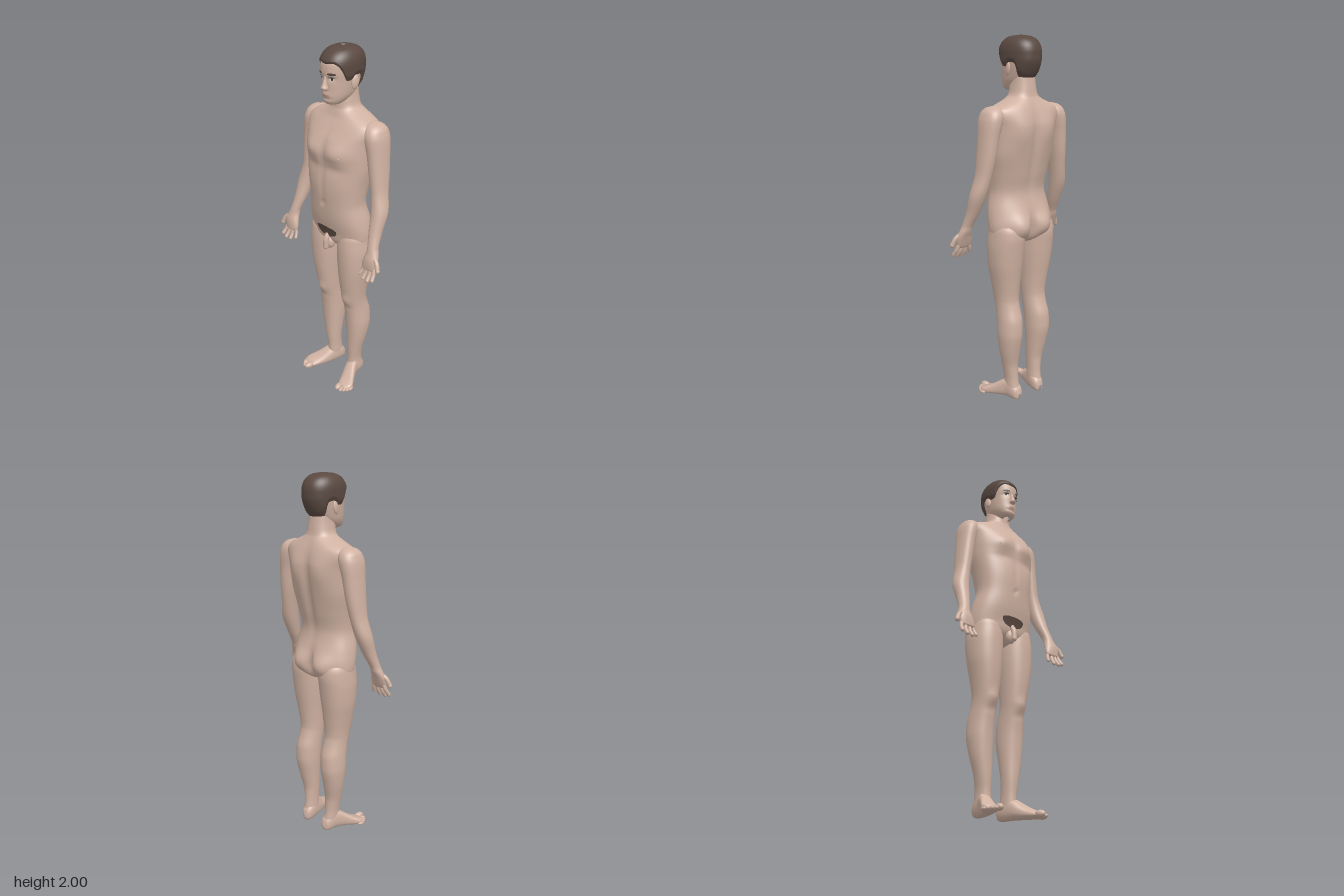
import * as THREE from 'three';

const mat = (name, color) => Object.assign(new THREE.MeshStandardMaterial({ color }), { name });
const bell = (dx, dy, sx, sy) => Math.exp(-((dx / sx) ** 2) - ((dy / sy) ** 2));
const spow = (v, e) => Math.sign(v) * Math.abs(v) ** e;

// Smooth curve through rows keyed by their first value
function sampleRows(rows, y) {
  let i = 0;
  while (i < rows.length - 2 && y > rows[i + 1][0]) i++;
  const p = rows[Math.max(i - 1, 0)], a = rows[i], b = rows[i + 1], q = rows[Math.min(i + 2, rows.length - 1)];
  const h = b[0] - a[0], t = Math.min(Math.max((y - a[0]) / h, 0), 1);
  return a.map((_, k) => {
    const d = (b[k] - a[k]) / h;
    const slope = (l, r) => (r[0] === l[0] ? d : (r[k] - l[k]) / (r[0] - l[0]));
    const limit = (m) => (m * d <= 0 ? 0 : Math.sign(m) * Math.min(Math.abs(m), 3 * Math.abs(d)));
    const m0 = limit(slope(p, b)), m1 = limit(slope(a, q));
    const t2 = t * t, t3 = t2 * t;
    return (2 * t3 - 3 * t2 + 1) * a[k] + (t3 - 2 * t2 + t) * h * m0 + (3 * t2 - 2 * t3) * b[k] + (t3 - t2) * h * m1;
  });
}

// Body surface from rows of [height, centre x, half width, front z, back z]
function surface(rows, { side = 1, power = 2.2, sculpt = () => 0 } = {}) {
  const point = (a, y, off = 0) => {
    const [, cx, hw, zf, zb] = sampleRows(rows, y);
    const c = Math.cos(a), e = 2 / power, mid = (zf + zb) / 2;
    const x = cx * side + (hw + off) * spow(Math.sin(a), e);
    const z = mid + ((zf - zb) / 2 + off) * spow(c, e);
    return [x, y, z + c * sculpt(Math.abs(x), y, c > 0)];
  };
  return { rows, point };
}

// Grid of quads over fn(u, v); closed in u when wrap is set
function grid(fn, nu, nv, wrap = true) {
  const pos = [], idx = [], cols = wrap ? nu : nu + 1;
  for (let j = 0; j <= nv; j++) for (let i = 0; i < cols; i++) pos.push(...fn(i / nu, j / nv));
  for (let j = 0; j < nv; j++) for (let i = 0; i < nu; i++) {
    const k = (i + 1) % cols, a = j * cols + i, b = j * cols + k;
    idx.push(a, b, b + cols, a, b + cols, a + cols);
  }
  const g = new THREE.BufferGeometry();
  g.setAttribute('position', new THREE.Float32BufferAttribute(pos, 3));
  g.setIndex(idx);
  g.computeVertexNormals();
  return g;
}

const TAU = Math.PI * 2;
function skinOf({ rows, point }, nu = 40, sub = 6) {
  const n = rows.length - 1;
  return grid((u, v) => {
    const i = Math.min(Math.floor(v * n + 1e-6), n - 1);
    return point(u * TAU, rows[i][0] + (rows[i + 1][0] - rows[i][0]) * (v * n - i));
  }, nu, n * sub);
}

// Thin oval lying on a surface
const patch = (s, a0, y0, da, dy, off, top = 1) => grid((u, v) => {
  const r = 1 - v, sn = Math.sin(u * TAU);
  return s.point(a0 + da * r * Math.cos(u * TAU), y0 + dy * r * sn * (sn > 0 ? top : 1), off);
}, 28, 6);

export function createModel() {
  const model = new THREE.Group();
  const skin = mat('skin', 0xd0b2a2), hair = mat('dark hair', 0x5a4941);
  const white = mat('eye white', 0xddd6d0), iris = mat('iris', 0x3c2f2a), lip = mat('lips', 0xb78f82);
  const add = (name, geo, m = skin) => {
    const mesh = new THREE.Mesh(geo, m);
    mesh.name = name;
    model.add(mesh);
    return mesh;
  };
  const ball = (name, p, s) => {
    const mesh = add(name, new THREE.SphereGeometry(1, 24, 16));
    mesh.position.set(...p);
    mesh.scale.set(...s);
    return mesh;
  };
  // Bent rod with rounded tip
  const rod = (name, pts, r) => {
    const curve = new THREE.CatmullRomCurve3(pts.map((p) => new THREE.Vector3(...p)));
    add(name, new THREE.TubeGeometry(curve, 10, r, 12));
    ball(name + 'Tip', pts[pts.length - 1], [r, r * 1.15, r]);
  };

  // Torso and neck with chest, belly, back and buttock relief
  const torso = surface([
    [0.905, 0, 0.02, 0.0, -0.03], [0.92, 0, 0.12, 0.04, -0.08], [0.96, 0, 0.182, 0.08, -0.118],
    [1.02, 0, 0.195, 0.094, -0.128], [1.1, 0, 0.186, 0.113, -0.118], [1.2, 0, 0.165, 0.125, -0.102],
    [1.3, 0, 0.176, 0.132, -0.122], [1.4, 0, 0.194, 0.125, -0.143], [1.47, 0, 0.2, 0.126, -0.152],
    [1.55, 0, 0.208, 0.108, -0.155], [1.6, 0, 0.222, 0.08, -0.148], [1.632, 0, 0.212, 0.06, -0.14],
    [1.655, 0, 0.17, 0.047, -0.132], [1.68, 0, 0.108, 0.038, -0.122], [1.7, 0, 0.078, 0.032, -0.114],
    [1.74, 0, 0.066, 0.03, -0.108], [1.8, 0, 0.06, 0.02, -0.1],
  ], {
    power: 2.3,
    sculpt: (x, y, front) => front
      ? 0.022 * bell(x - 0.085, y - 1.495, 0.065, 0.05) - 0.006 * bell(x, y - 1.5, 0.014, 0.09)
        - 0.006 * bell(x, y - 1.32, 0.014, 0.1) - 0.012 * bell(x, y - 1.2, 0.012, 0.012)
        - 0.006 * bell(x - 0.08, y - 1.4, 0.06, 0.025)
      : 0.018 * bell(x - 0.09, y - 1.53, 0.06, 0.09) - 0.014 * bell(x, y - 1.4, 0.025, 0.2)
        + 0.036 * bell(x - 0.085, y - 1.015, 0.065, 0.07) - 0.03 * bell(x, y - 0.99, 0.02, 0.07),
  });
  add('torso', skinOf(torso, 96, 6));
  add('bodyHair', patch(torso, 0, 1.035, 0.32, 0.045, 0.006, 0.35), hair);
  rod('genitals', [[0, 1.0, 0.085], [0, 0.97, 0.103], [0, 0.925, 0.106]], 0.015);
  ball('genitalsBase', [0, 0.945, 0.075], [0.03, 0.04, 0.026]);

  // Head with eye sockets and cheeks
  const head = surface([
    [1.722, 0, 0.018, 0.07, 0.02], [1.727, 0, 0.036, 0.083, 0.0], [1.745, 0, 0.054, 0.094, -0.045],
    [1.77, 0, 0.067, 0.095, -0.08], [1.8, 0, 0.074, 0.095, -0.103], [1.84, 0, 0.08, 0.096, -0.125],
    [1.88, 0, 0.084, 0.102, -0.137], [1.92, 0, 0.085, 0.1, -0.137], [1.95, 0, 0.079, 0.087, -0.128],
    [1.975, 0, 0.062, 0.06, -0.104], [1.988, 0, 0.038, 0.025, -0.07], [1.993, 0, 0.004, -0.02, -0.03],
  ], {
    sculpt: (x, y, front) => front
      ? -0.009 * bell(x - 0.035, y - 1.858, 0.022, 0.014) + 0.005 * bell(x, y - 1.774, 0.025, 0.012)
        - 0.004 * bell(x, y - 1.757, 0.03, 0.008) : 0,
  });
  add('head', skinOf(head, 64, 6));
  const nose = surface([[1.797, 0, 0.006, 0.1, 0.08], [1.803, 0, 0.017, 0.115, 0.08], [1.812, 0, 0.018, 0.122, 0.08],
    [1.825, 0, 0.013, 0.117, 0.08], [1.85, 0, 0.009, 0.107, 0.08], [1.88, 0, 0.008, 0.099, 0.08]]);
  add('nose', skinOf(nose, 24, 4));
  add('mouth', patch(head, 0, 1.775, 0.3, 0.006, 0.002), lip);

  // Hair cap: runs from the hairline to the crown
  const hairline = [[0, 1.928], [0.5, 1.932], [0.8, 1.918], [1.0, 1.892], [1.2, 1.848], [1.45, 1.845],
    [1.65, 1.868], [1.95, 1.862], [2.2, 1.81], [2.6, 1.778], [3.15, 1.768]];
  add('hair', grid((u, v) => {
    const a = u * TAU, low = sampleRows(hairline, Math.min(a, TAU - a))[1];
    const y = low + (1.993 - low) * Math.sin(v * Math.PI / 2);
    const off = 0.008 * Math.min(1, v * 10);
    const p = head.point(a, y, off);
    p[1] += off * Math.max(0, (y - 1.93) / 0.063);
    return p;
  }, 96, 40), hair);

  for (const side of [1, -1]) {
    const tag = side > 0 ? 'left' : 'right';
    // Face details and ear
    add(tag + 'EyeWhite', patch(head, side * 0.39, 1.857, 0.16, 0.008, 0.002), white);
    add(tag + 'Iris', patch(head, side * 0.39, 1.857, 0.07, 0.0075, 0.0035), iris);
    add(tag + 'UpperLid', patch(head, side * 0.39, 1.865, 0.18, 0.003, 0.0045), hair);
    add(tag + 'Eyebrow', patch(head, side * 0.43, 1.882, 0.25, 0.006, 0.003), hair);
    ball(tag + 'Ear', [side * 0.085, 1.833, -0.022], [0.009, 0.034, 0.02]).rotation.set(-0.2, side * -0.25, 0);
    ball(tag + 'Nipple', [side * 0.11, 1.475, 0.118], [0.007, 0.007, 0.006]);

    // Arm down to the palm
    add(tag + 'Arm', skinOf(surface([
      [0.905, 0.302, 0.025, 0.098, 0.08], [0.915, 0.302, 0.041, 0.104, 0.073], [0.94, 0.305, 0.046, 0.104, 0.062],
      [0.97, 0.309, 0.043, 0.1, 0.05], [1.0, 0.307, 0.034, 0.09, 0.036], [1.03, 0.301, 0.029, 0.082, 0.026],
      [1.1, 0.288, 0.034, 0.06, -0.012], [1.2, 0.278, 0.043, 0.034, -0.058], [1.3, 0.257, 0.039, 0.02, -0.082],
      [1.4, 0.243, 0.043, 0.022, -0.1], [1.5, 0.231, 0.047, 0.025, -0.11], [1.58, 0.217, 0.054, 0.03, -0.118],
      [1.62, 0.206, 0.053, 0.02, -0.11], [1.645, 0.198, 0.036, -0.005, -0.085], [1.655, 0.192, 0.006, -0.04, -0.05],
    ], { side }), 36, 5));

    // Fingers and thumb
    const fingers = [
      ['indexFinger', [0.337, 0.93, 0.084], [0.346, 0.895, 0.094], [0.352, 0.868, 0.112], 0.0105],
      ['middleFinger', [0.315, 0.925, 0.087], [0.32, 0.885, 0.097], [0.323, 0.857, 0.116], 0.0105],
      ['ringFinger', [0.293, 0.925, 0.087], [0.292, 0.885, 0.096], [0.29, 0.857, 0.113], 0.01],
      ['littleFinger', [0.273, 0.93, 0.085], [0.264, 0.895, 0.09], [0.257, 0.87, 0.102], 0.009],
      ['thumb', [0.328, 0.985, 0.075], [0.357, 0.962, 0.085], [0.373, 0.927, 0.094], 0.012],
    ];
    for (const [name, a, b, c, r] of fingers) rod(tag + name, [a, b, c].map(([x, y, z]) => [side * x, y, z]), r);

    // Leg with kneecap and calf
    add(tag + 'Leg', skinOf(surface([
      [0.05, 0.083, 0.034, 0.005, -0.1], [0.12, 0.084, 0.034, 0.004, -0.088], [0.2, 0.089, 0.042, 0.01, -0.086],
      [0.3, 0.097, 0.056, 0.015, -0.106], [0.4, 0.1, 0.065, 0.022, -0.125], [0.48, 0.098, 0.064, 0.03, -0.122],
      [0.55, 0.096, 0.062, 0.043, -0.1], [0.6, 0.096, 0.064, 0.055, -0.09], [0.7, 0.1, 0.075, 0.072, -0.1],
      [0.8, 0.104, 0.088, 0.082, -0.115], [0.9, 0.104, 0.094, 0.086, -0.128], [0.96, 0.102, 0.093, 0.084, -0.134],
      [1.02, 0.1, 0.085, 0.07, -0.12], [1.08, 0.095, 0.03, 0.0, -0.05],
    ], {
      side,
      sculpt: (x, y, front) => front
        ? 0.01 * bell(x - 0.096, y - 0.585, 0.03, 0.035) - 0.004 * bell(x - 0.096, y - 0.53, 0.04, 0.02) : 0,
    }), 44, 6));

    // Foot lofted from heel to ball, then turned to lie flat
    add(tag + 'Foot', skinOf(surface([
      [-0.11, 0.078, 0.008, -0.02, -0.04], [-0.1, 0.079, 0.026, -0.004, -0.07], [-0.07, 0.081, 0.035, 0, -0.1],
      [-0.03, 0.087, 0.037, 0, -0.115], [0.01, 0.102, 0.042, 0, -0.094], [0.045, 0.121, 0.047, 0, -0.068],
      [0.08, 0.141, 0.05, 0, -0.047], [0.105, 0.147, 0.044, -0.002, -0.036], [0.125, 0.145, 0.03, -0.006, -0.026],
    ], { side, power: 2.5 }), 36, 5).rotateX(Math.PI / 2));
    [[0.131, 0.138, 0.018, 0.029], [0.154, 0.136, 0.011, 0.025], [0.17, 0.124, 0.0105, 0.024],
      [0.182, 0.109, 0.01, 0.022], [0.19, 0.092, 0.01, 0.02]].forEach(([x, z, r, len], i) => {
      ball(tag + 'Toe' + (i + 1), [side * x, r + 0.001, z], [r, r, len]).rotation.y = side * 0.25;
    });
  }
  return model;
}
